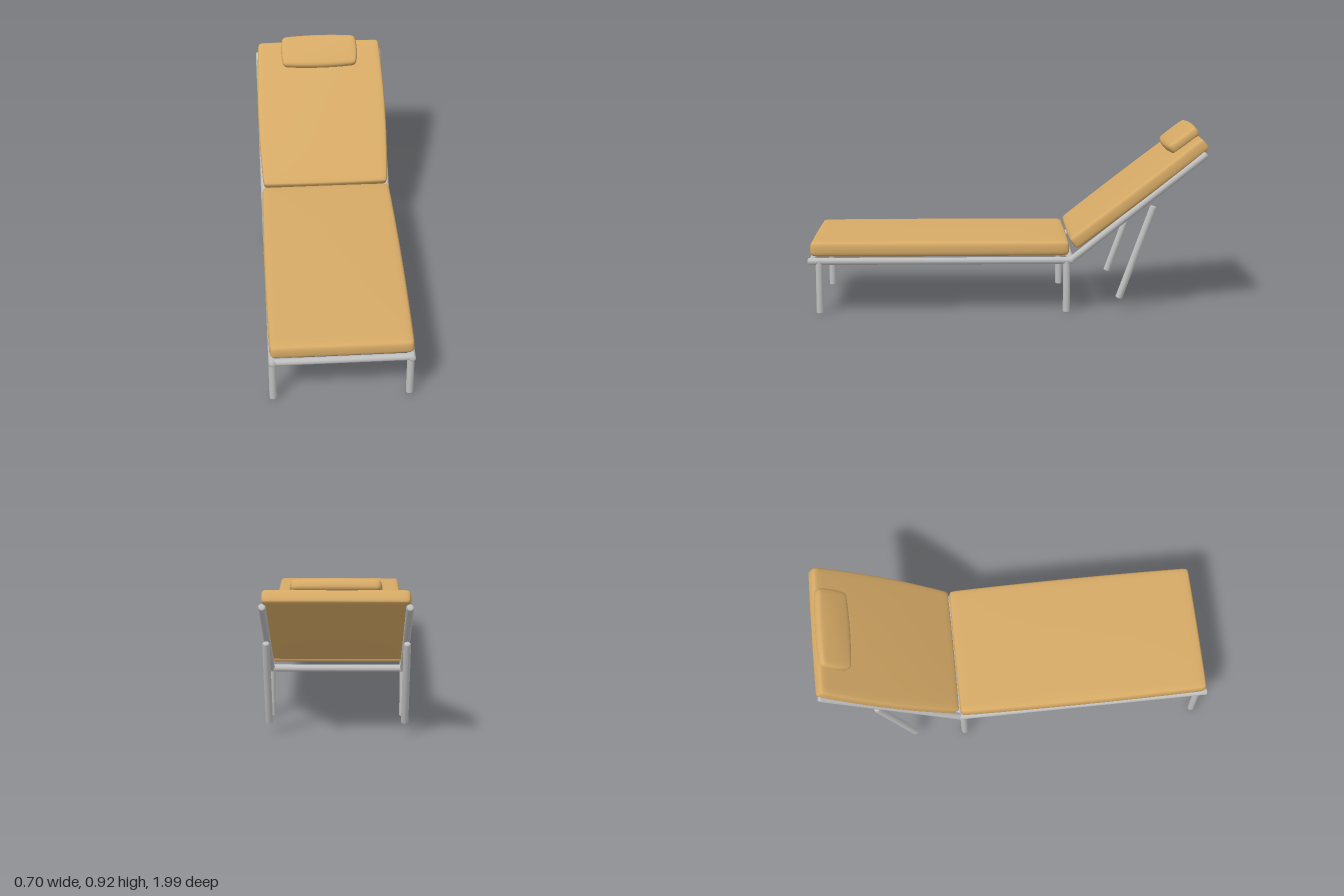
import * as THREE from 'three';
import { mergeVertices } from 'three/addons/utils/BufferGeometryUtils.js';

const fabric = new THREE.MeshStandardMaterial({ color: 0xd6aa66 });
fabric.name = 'tan fabric';
const metal = new THREE.MeshStandardMaterial({ color: 0xbfbfbf });
metal.name = 'grey metal';

const TILT = THREE.MathUtils.degToRad(37.6);

// Padded cushion: a rounded box whose faces swell towards their middle.
function cushion(name, [w, h, d], radius, [pinchX, crown, pinchZ]) {
  let geo = new THREE.BoxGeometry(2, 2, 2, 20, 8, 20);
  geo.deleteAttribute('uv');
  geo.deleteAttribute('normal');
  geo = mergeVertices(geo, 1e-4);
  const half = new THREE.Vector3(w / 2, h / 2, d / 2);
  const inner = half.clone().subScalar(radius);
  const pos = geo.attributes.position;
  const p = new THREE.Vector3();
  const core = new THREE.Vector3();
  const ease = (t) => Math.sin((t * Math.PI) / 2);
  for (let i = 0; i < pos.count; i++) {
    p.fromBufferAttribute(pos, i);
    p.set(ease(p.x), ease(p.y), ease(p.z)).multiply(half);
    core.copy(p).clamp(inner.clone().negate(), inner);
    p.sub(core);
    if (p.length() > 0) p.setLength(radius);
    p.add(core);
    const u = p.x / half.x, v = p.y / half.y, t = p.z / half.z;
    p.x *= 1 - pinchX * t * t;
    p.y += v * crown * (1 - u * u) * (1 - t * t);
    p.z *= 1 - pinchZ * u * u;
    pos.setXYZ(i, p.x, p.y, p.z);
  }
  geo.computeVertexNormals();
  const mesh = new THREE.Mesh(geo, fabric);
  mesh.name = name;
  return mesh;
}

// Round tube with softened ends, running between two points.
function bar(name, from, to, r = 0.018) {
  const a = new THREE.Vector3(...from);
  const b = new THREE.Vector3(...to);
  const l = a.distanceTo(b) / 2;
  const c = 0.006;
  const profile = [[0, -l], [r - c, -l], [r, -l + c], [r, l - c], [r - c, l], [0, l]]
    .map(([x, y]) => new THREE.Vector2(x, y));
  const mesh = new THREE.Mesh(new THREE.LatheGeometry(profile, 12), metal);
  mesh.name = name;
  mesh.position.addVectors(a, b).multiplyScalar(0.5);
  mesh.quaternion.setFromUnitVectors(new THREE.Vector3(0, 1, 0), b.sub(a).normalize());
  return mesh;
}

export function createModel() {
  const model = new THREE.Group();
  model.name = 'sunLounger';

  // Cushions
  const seat = cushion('seatCushion', [0.7, 0.074, 1.295], 0.024, [0.02, 0.008, 0.003]);
  seat.position.set(0, 0.326, 0.3425);

  const back = cushion('backCushion', [0.7, 0.066, 0.835], 0.02, [0.045, 0.008, 0.008]);
  back.position.set(0, 0.597, -0.65);
  back.rotation.x = TILT;

  const pillow = cushion('headPillow', [0.42, 0.052, 0.188], 0.022, [0.05, 0.008, 0.1]);
  pillow.position.set(0, 0.848, -0.887);
  pillow.rotation.x = TILT;
  model.add(seat, back, pillow);

  // Frame sides, mirrored
  for (const [side, s] of [['left', 1], ['right', -1]]) {
    const x = s * 0.332;
    model.add(
      bar(side + 'SeatRail', [x, 0.265, -0.325], [x, 0.265, 1.0]),
      bar(side + 'BackRail', [x, 0.265, -0.31], [x, 0.797, -0.982]),
      bar(side + 'FrontLeg', [x, 0, 0.943], [x, 0.265, 0.943]),
      bar(side + 'RearLeg', [x, 0, -0.29], [x, 0.265, -0.29]),
      bar(side + 'BackStrut', [x, 0.07, -0.552], [x, 0.538, -0.722])
    );
  }

  // Cross bars
  model.add(
    bar('frontCrossBar', [-0.345, 0.265, 0.978], [0.345, 0.265, 0.978]),
    bar('rearCrossBar', [-0.345, 0.265, -0.31], [0.345, 0.265, -0.31])
  );
  return model;
}
